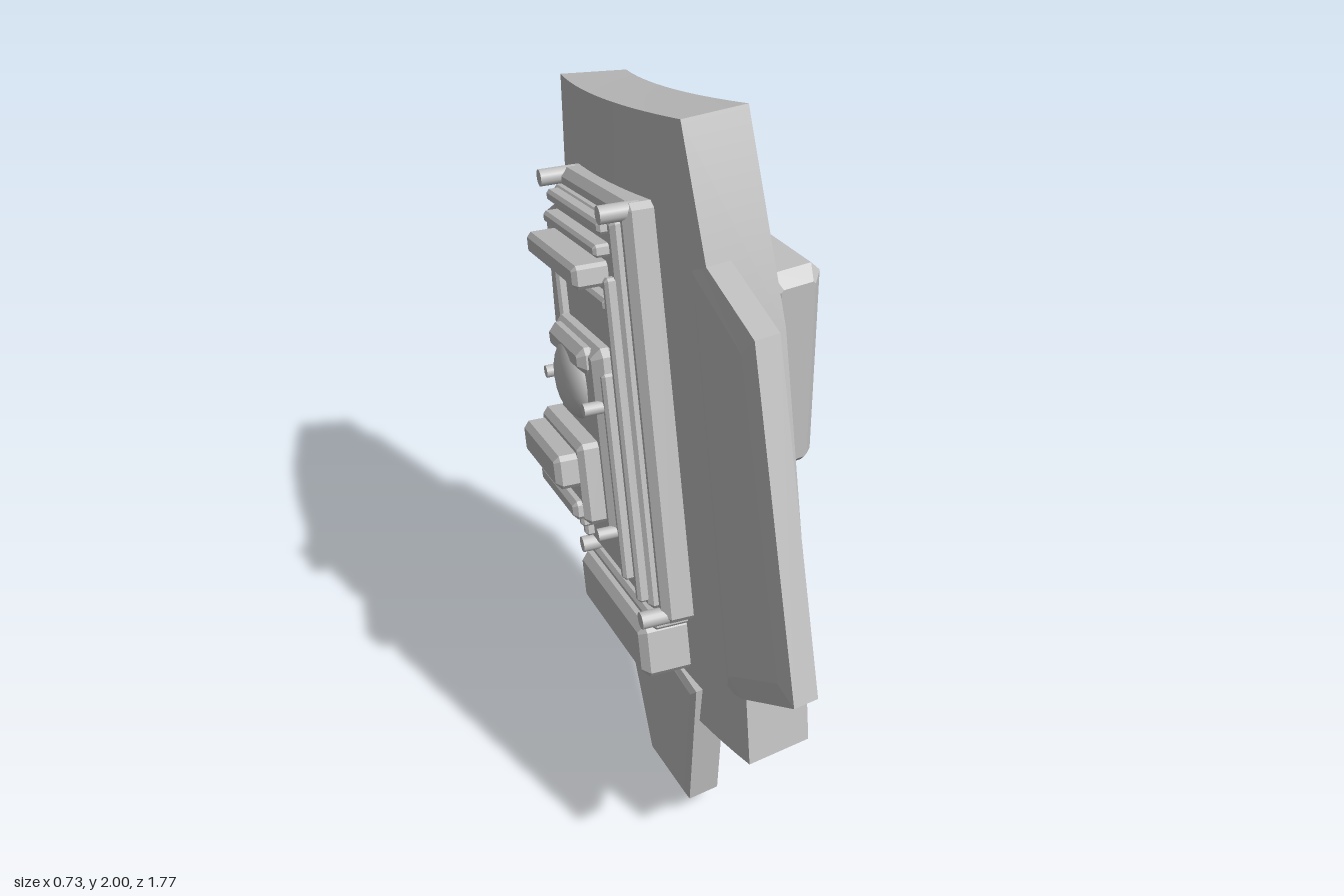
import * as THREE from 'three';
import { ParametricGeometry } from 'three/addons/geometries/ParametricGeometry.js';

const grey = new THREE.MeshStandardMaterial({ color: 0xc0c0c0 });
grey.name = 'plain grey';

function add(parent, name, geometry, x = 0, y = 0, z = 0) {
  const mesh = new THREE.Mesh(geometry, grey);
  mesh.name = name;
  mesh.position.set(x, y, z);
  parent.add(mesh);
  return mesh;
}

// Box centred on the origin with every edge and corner chamfered by c
function chamferBox(w, h, d, c) {
  const a = w / 2, b = h / 2, k = c * 0.8;
  const shape = new THREE.Shape([
    [a - k, -b], [a, -b + k], [a, b - k], [a - k, b],
    [-a + k, b], [-a, b - k], [-a, -b + k], [-a + k, -b],
  ].map(([x, y]) => new THREE.Vector2(x, y)));
  return new THREE.ExtrudeGeometry(shape, {
    depth: d - 2 * c, bevelThickness: c, bevelSize: c, bevelOffset: -c, bevelSegments: 1,
  }).translate(0, 0, -(d - 2 * c) / 2);
}

// Slanted armour slab: outline in [z, y], x follows x0 - tilt * (z - z0)
function slab(outline, x0, z0, tilt, half, crown, inset) {
  const shape = new THREE.Shape(outline.map(([z, y]) => new THREE.Vector2(-z, y)));
  const core = 2 * (half - crown);
  const g = new THREE.ExtrudeGeometry(shape, {
    depth: core, bevelThickness: crown, bevelSize: inset, bevelOffset: -inset, bevelSegments: 1,
  });
  g.translate(0, 0, -core / 2).rotateY(Math.PI / 2);
  const p = g.attributes.position;
  for (let i = 0; i < p.count; i++) p.setX(i, p.getX(i) + x0 - tilt * (p.getZ(i) - z0));
  g.computeVertexNormals();
  return g;
}

// Curved shield plate: front and rear edge points [x, y, z] from bottom to top
const frontEdge = [[0.02, 0.445, 0.645], [0.04, 1.0, 0.545], [0.06, 1.53, 0.41], [0.08, 2.0, 0.2]];
const rearEdge = [[0.18, 0.2, -0.3], [0.2, 0.73, -0.48], [0.22, 1.27, -0.6], [0.23, 1.78, -0.63]];

function along(edge, v) {
  const s = Math.min(Math.max(v, 0), 1) * 3, i = Math.min(Math.floor(s), 2), f = s - i;
  return edge[i].map((a, k) => a + (edge[i + 1][k] - a) * f);
}

function platePoint(t, v, s, target) {
  const a = along(frontEdge, v), b = along(rearEdge, v), angle = 0.36 * t;
  target.set(
    a[0] + (b[0] - a[0]) * t * t - 0.18 * s * Math.cos(angle),
    a[1] + (b[1] - a[1]) * t,
    a[2] + (b[2] - a[2]) * t - 0.18 * s * Math.sin(angle));
}

function buildPlate() {
  const plate = new THREE.Group();
  plate.name = 'shieldPlate';
  const faces = [
    ['outerFace', (u, v) => [u, v, 0], 16, 3],
    ['innerFace', (u, v) => [1 - u, v, 1], 16, 3],
    ['frontRim', (u, v) => [0, v, 1 - u], 1, 3],
    ['rearRim', (u, v) => [1, v, u], 1, 3],
    ['topRim', (u, v) => [1 - u, 1, 1 - v], 16, 1],
    ['bottomRim', (u, v) => [u, 0, 1 - v], 16, 1],
  ];
  for (const [name, map, nu, nv] of faces) {
    add(plate, name, new ParametricGeometry((u, v, p) => platePoint(...map(u, v), p), nu, nv));
  }
  return plate;
}

// Stacked machinery on the inner face; local x across, y along, z outwards
function buildMachinery() {
  const g = new THREE.Group();
  g.name = 'innerMachinery';
  const box = (name, u, v, w, h, n0, n1, c = 0.012) =>
    add(g, name, chamferBox(w, h, n1 - n0, c), u, v, (n0 + n1) / 2);
  const pin = (name, u, v, r, n0, n1) =>
    add(g, name, new THREE.CylinderGeometry(r, r, n1 - n0, 16).rotateX(Math.PI / 2), u, v, (n0 + n1) / 2);

  box('baseTray', 0, 0, 0.6, 1.1, -0.06, 0.045, 0.02);
  box('raisedTray', 0, 0, 0.53, 1.02, 0.03, 0.07);
  for (const side of [-1, 1]) {
    box('longRail', side * 0.24, -0.06, 0.03, 0.86, 0.06, 0.095, 0.008);
    box('innerRail', side * 0.195, -0.16, 0.03, 0.56, 0.06, 0.115, 0.008);
    for (const v of [-0.53, 0.53]) pin('cornerPin', side * 0.27, v, 0.023, 0, 0.1);
  }

  // Slats at the top
  for (const [v, n] of [[0.49, 0.095], [0.435, 0.11], [0.3, 0.1]]) {
    box('slat', 0, v, 0.47, 0.032, 0.05, n, 0.008);
  }
  box('thickSlat', -0.02, 0.37, 0.45, 0.06, 0.05, 0.16);

  // Central housing with a dome and a stepped block
  box('housing', 0, -0.08, 0.4, 0.52, 0.06, 0.13, 0.025);
  box('upperHousing', 0, 0.14, 0.3, 0.07, 0.1, 0.155, 0.02);
  add(g, 'dome', new THREE.SphereGeometry(0.11, 24, 12).scale(1, 1, 0.5), 0, 0.06, 0.125);
  box('stepBlock', -0.02, -0.18, 0.36, 0.22, 0.11, 0.185, 0.015);
  box('topBlock', -0.02, -0.14, 0.33, 0.09, 0.17, 0.245, 0.015);
  box('lowerBlock', -0.02, -0.25, 0.33, 0.05, 0.17, 0.21, 0.012);
  for (const [u, v] of [[0.18, 0.03], [-0.18, 0.03], [-0.18, -0.31], [0.18, -0.31]]) {
    pin('smallPin', u, v, 0.017, 0.1, 0.165);
  }

  // Box below the tray
  box('lowerBox', -0.03, -0.64, 0.56, 0.15, -0.06, 0.1, 0.02);
  box('lowerLip', -0.03, -0.56, 0.58, 0.03, -0.04, 0.065, 0.01);

  const across = new THREE.Vector3(-0.19, 0.24, 0.95).normalize();
  const out = across.clone().cross(new THREE.Vector3(0.04, 0.97, -0.24)).normalize();
  const up = out.clone().cross(across);
  g.quaternion.setFromRotationMatrix(new THREE.Matrix4().makeBasis(across, up, out));
  g.position.set(-0.095, 1.15, -0.08);
  return g;
}

// Grip pad on the outer side with its round-ended mount
function buildPad() {
  const g = new THREE.Group();
  g.name = 'outerPad';
  add(g, 'pad', chamferBox(0.175, 0.6, 0.47, 0.035), 0.2725, 1.2, -0.075);
  add(g, 'mount', chamferBox(0.17, 0.36, 0.41, 0.02), 0.145, 1.2, -0.075);
  const disc = (name, r, length, z) =>
    add(g, name, new THREE.CylinderGeometry(r, r, length, 32).rotateX(Math.PI / 2), 0.19, 1.2, z);
  disc('mountHub', 0.12, 0.43, -0.07);
  disc('hubCap', 0.08, 0.44, -0.07);
  return g;
}

export function createModel() {
  const model = new THREE.Group();
  model.name = 'curvedShield';
  model.add(buildPlate(), buildMachinery(), buildPad());

  add(model, 'frontWing', slab(
    [[0.61, 1.66], [0.22, 1.715], [0.51, 0.58], [0.61, 0.64], [0.89, 0.855]],
    -0.18, 0.89, 0.18, 0.045, 0.012, 0.06));
  add(model, 'rearWing', slab(
    [[-0.6, 1.485], [-0.885, 1.285], [-0.755, 0.44], [-0.335, 0.365]],
    0.125, -0.885, 0.19, 0.045, 0.012, 0.06));
  add(model, 'lowerTab', slab(
    [[0.4, 0.5], [0.36, 0.07], [0.08, 0], [-0.09, 0.26], [-0.2, 0.42]],
    -0.115, 0.36, 0.18, 0.055, 0.01, 0.02));
  return model;
}
